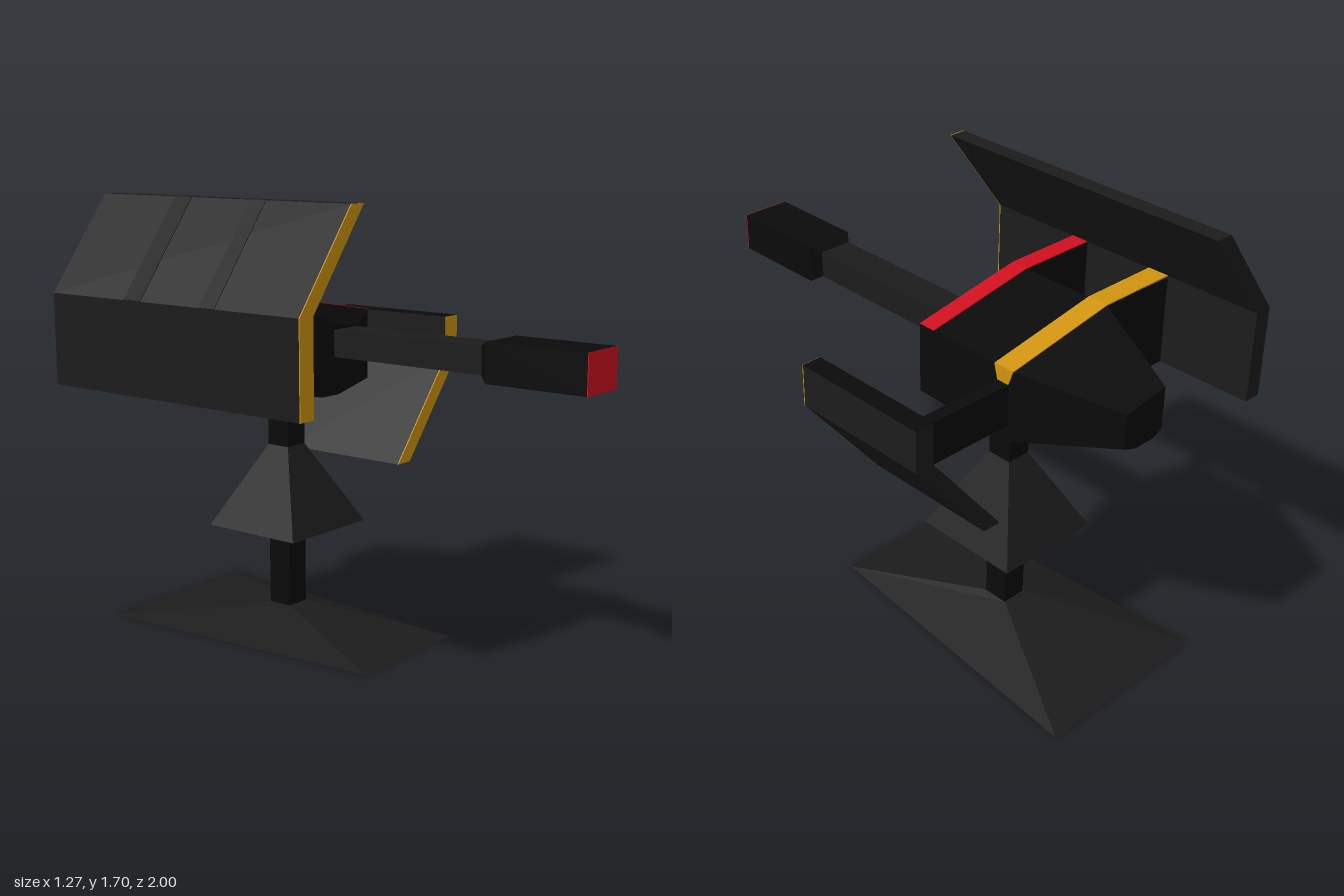
import * as THREE from 'three';

const paint = (color) => new THREE.MeshStandardMaterial({ color, flatShading: true });

// Convex rings of [x, y, z], counter-clockwise seen from the end they travel towards
function loft(rings) {
  const pos = [];
  const tri = (a, b, c) => pos.push(...a, ...b, ...c);
  const n = rings[0].length;
  for (let r = 0; r < rings.length - 1; r++) {
    const lo = rings[r], hi = rings[r + 1];
    for (let i = 0; i < n; i++) {
      const j = (i + 1) % n;
      tri(lo[i], lo[j], hi[j]);
      tri(lo[i], hi[j], hi[i]);
    }
  }
  const first = rings[0], last = rings[rings.length - 1];
  for (let i = 1; i < n - 1; i++) {
    tri(first[0], first[i + 1], first[i]);
    tri(last[0], last[i], last[i + 1]);
  }
  const g = new THREE.BufferGeometry();
  g.setAttribute('position', new THREE.Float32BufferAttribute(pos, 3));
  g.computeVertexNormals();
  return g;
}

// Outline in x, y pushed from z0 to z1
function prism(points, z0, z1) {
  const shape = new THREE.Shape(points.map(([x, y]) => new THREE.Vector2(x, y)));
  return new THREE.ExtrudeGeometry(shape, { depth: z1 - z0, bevelEnabled: false }).translate(0, 0, z0);
}

function box(x0, x1, y0, y1, z0, z1) {
  return new THREE.BoxGeometry(x1 - x0, y1 - y0, z1 - z0)
    .translate((x0 + x1) / 2, (y0 + y1) / 2, (z0 + z1) / 2);
}

const level = (x0, x1, z0, z1, y) => [[x0, y, z1], [x1, y, z1], [x1, y, z0], [x0, y, z0]];
const upright = (x0, x1, y0, y1, z) => [[x0, y0, z], [x1, y0, z], [x1, y1, z], [x0, y1, z]];
const at = (outline, z) => outline.map(([x, y]) => [x, y, z]);

export function createModel() {
  const model = new THREE.Group();
  const black = paint(0x0a0a0a), grey = paint(0x1c1c1c);
  const yellow = paint(0xd0940f), red = paint(0xd0101f);
  const add = (name, geometry, material) => {
    const mesh = new THREE.Mesh(geometry, material);
    mesh.name = name;
    model.add(mesh);
  };

  // Stand
  add('standBase', loft([
    [[-0.28, 0, 0.215], [0.25, 0, 0.215], [0.35, 0, -1], [-0.38, 0, -1]],
    level(-0.062, 0.037, -0.44, -0.34, 0.092),
  ]), grey);
  add('standColumn', box(-0.062, 0.037, 0.08, 1.0, -0.44, -0.34), black);
  add('standSkirt', loft([
    level(-0.227, 0.204, -0.605, -0.175, 0.415),
    level(-0.062, 0.037, -0.44, -0.34, 0.735),
  ]), grey);

  // Hull: a slanted block with a tapered tail and a short tapered nose
  const hull = [[-0.24, 0.99], [-0.06, 0.95], [0.037, 0.95], [0.215, 0.99], [0.215, 1.26], [-0.24, 1.34]];
  const tail = [[-0.09, 1.09], [-0.05, 1.07], [0.04, 1.07], [0.095, 1.09], [0.095, 1.22], [-0.09, 1.25]];
  const nose = [[-0.09, 1.1], [-0.05, 1.08], [0.03, 1.08], [0.065, 1.1], [0.065, 1.22], [-0.09, 1.24]];
  add('hull', loft([at(tail, -1), at(hull, -0.615), at(hull, -0.165), at(nose, -0.09)]), black);

  // Gun with a wider muzzle
  add('gunBarrel', box(-0.08, 0.053, 1.115, 1.217, -0.1, 0.57), grey);
  add('gunMuzzle', loft([
    upright(-0.08, 0.053, 1.115, 1.217, 0.565),
    upright(-0.108, 0.085, 1.092, 1.238, 0.6),
    upright(-0.108, 0.085, 1.092, 1.238, 0.997),
  ]), black);
  add('muzzleFace', box(-0.108, 0.085, 1.092, 1.238, 0.997, 1), red);

  // Large bent wing, its struts and the coloured bands over the hull
  const largeWing = [[-0.635, 0.99], [-0.565, 0.99], [-0.565, 1.34], [-0.295, 1.7], [-0.362, 1.7], [-0.635, 1.34]];
  add('largeWing', prism(largeWing, -1, 0.217), grey);
  add('largeWingFrontEdge', prism(largeWing, 0.217, 0.221), yellow);
  const bandTop = [[-0.565, 1.337], [-0.24, 1.337], [0.215, 1.257], [0.215, 1.263], [-0.24, 1.343], [-0.565, 1.343]];
  const wingBand = [[-0.633, 1.338], [-0.36, 1.698], [-0.364, 1.701], [-0.637, 1.341]];
  for (const [name, z0, z1, color] of [['front', -0.235, -0.165, red], ['rear', -0.615, -0.53, yellow]]) {
    add(name + 'Strut', box(-0.57, -0.235, 0.99, 1.339, z0, z1), black);
    add(name + 'HullBand', prism(bandTop, z0, z1), color);
    add(name + 'WingBand', prism(wingBand, z0, z1), black);
  }

  // Small bent wing on its single arm
  const smallWing = [[0.315, 0.655], [0.63, 1.045], [0.63, 1.205], [0.555, 1.205], [0.555, 1.045], [0.24, 0.655]];
  add('smallWing', prism(smallWing, -0.595, -0.035), grey);
  add('smallWingFrontEdge', prism(smallWing, -0.035, -0.031), yellow);
  add('smallWingTop', box(0.555, 0.63, 1.204, 1.207, -0.595, -0.035), black);
  add('smallWingArm', box(0.2, 0.56, 1.045, 1.205, -0.595, -0.545), black);
  add('armBand', loft([
    level(0.21, 0.219, -0.595, -0.545, 1.205),
    level(0.21, 0.219, -0.615, -0.53, 1.262),
  ]), yellow);

  return model;
}
